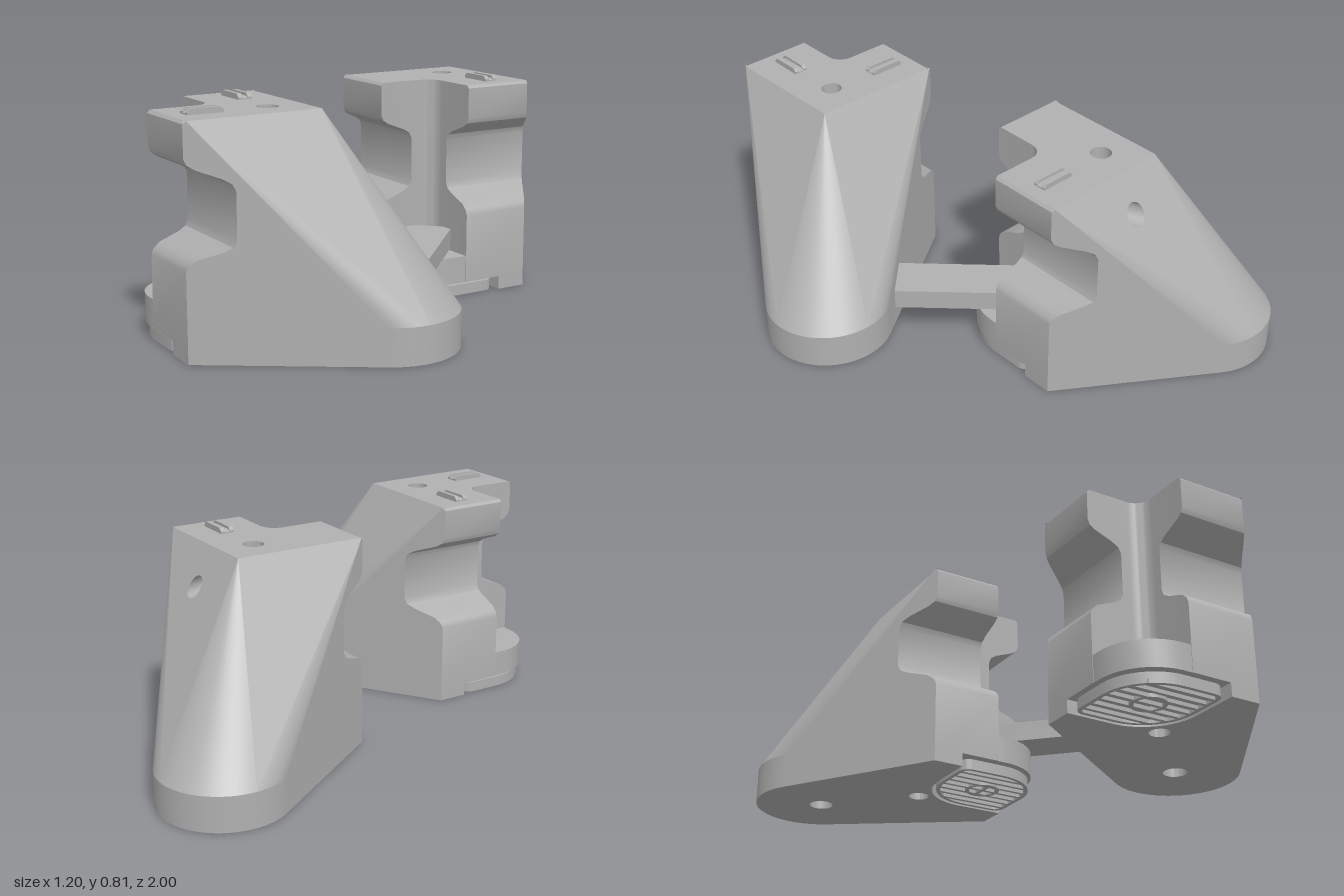
import * as THREE from 'three';
import { toCreasedNormals } from 'three/addons/utils/BufferGeometryUtils.js';

const grey = new THREE.MeshStandardMaterial({ color: 0xb0b0b0, side: THREE.DoubleSide });
grey.name = 'plain grey';

const TOP = 0.79, RIM = 0.13, POCKET = 0.05, APEX = 0.02;
const TIP_X = 0.253, TIP_R = 0.235, HOLE_X = -0.165, HOLE_R = 0.038;
const SIDE = 0.5, NOTCH = 0.27;
const v3 = (x, y, z) => new THREE.Vector3(x, y, z);

// Plan point [x, z] measured along the two diagonal edges of the square head
const ab = (a, b) => [APEX - (a + b) * Math.SQRT1_2, (a - b) * Math.SQRT1_2];
const tip = t => [TIP_X + TIP_R * Math.cos(t), TIP_R * Math.sin(t)];
const steps = (n, f) => Array.from({ length: n + 1 }, (_, i) => f(i / n));
const flip = pts => pts.map(([x, z]) => [x, -z]).reverse();
const at = (pts, y) => pts.map(([x, z]) => v3(x, y, z));

// Head corner and the tangent wall running from it to the rounded tip
const P = ab(SIDE, 0);
const TAN = Math.atan2(P[1], P[0] - TIP_X) - Math.acos(TIP_R / Math.hypot(P[0] - TIP_X, P[1]));
const Q = tip(TAN);
const WALL = Math.hypot(Q[0] - P[0], Q[1] - P[1]);
const DIR = [(Q[0] - P[0]) / WALL, (Q[1] - P[1]) / WALL];
const SKEW = (DIR[0] - DIR[1]) * Math.SQRT1_2;
const tipArc = steps(32, t => tip(TAN - 2 * TAN * t));

// Side groove: [height, depth]
const GROOVE = [[POCKET, 0], [0.305, 0], [0.325, 0.008], [0.345, 0.03], [0.372, 0.1], [0.388, 0.126], [0.41, 0.136],
  [0.57, 0.136], [0.592, 0.126], [0.608, 0.1], [0.635, 0.03], [0.65, 0.008], [0.67, 0], [0.78, 0], [TOP, 0.01]];

function add(group, name, geometry) {
  const mesh = new THREE.Mesh(toCreasedNormals(geometry, 0.55), grey);
  mesh.name = name;
  group.add(mesh);
  return mesh;
}

function loft(rows) {
  const pos = [];
  for (let i = 0; i + 1 < rows.length; i++)
    for (let j = 0; j + 1 < rows[i].length; j++) {
      const [a, b, c, d] = [rows[i][j], rows[i][j + 1], rows[i + 1][j + 1], rows[i + 1][j]];
      for (const p of [a, b, c, a, c, d]) pos.push(p.x, p.y, p.z);
    }
  const g = new THREE.BufferGeometry();
  g.setAttribute('position', new THREE.Float32BufferAttribute(pos, 3));
  return g;
}

// Plan shape with round holes [x, z, r]
function plan(pts, holes = []) {
  const s = new THREE.Shape(pts.map(([x, z]) => new THREE.Vector2(x, -z)));
  for (const [x, z, r] of holes) s.holes.push(new THREE.Path().absarc(x, -z, r, 0, Math.PI * 2, true));
  return s;
}
const cap = (shape, y) => new THREE.ShapeGeometry(shape, 24).rotateX(-Math.PI / 2).translate(0, y, 0);
const slab = (shape, y0, y1) => new THREE.ExtrudeGeometry(shape, { depth: y1 - y0, bevelEnabled: false, curveSegments: 24 })
  .rotateX(-Math.PI / 2).translate(0, y0, 0);

// Grooved nose outline from -z to +z at one groove depth
function noseLine(d) {
  const r = 0.06, c = NOTCH + r, s = d / SKEW;
  const half = [ab(c - r * Math.SQRT1_2, c - r * Math.SQRT1_2),
    ...steps(5, t => (1 - t) * Math.PI / 4).map(p => ab(c - r * Math.sin(p), c - r * Math.cos(p))).slice(1),
    ab(SIDE - d, NOTCH), [P[0] + DIR[0] * s, P[1] + DIR[1] * s]];
  return [...flip(half).slice(0, -1), ...half];
}

// Square in edge coordinates with rounded inner and outer corners
function roundedPad(lo, hi, r, k) {
  const corner = (ca, cb, rad, start) => steps(10, t => {
    const q = start + t * Math.PI / 2;
    return ab(ca + rad * Math.cos(q), cb + rad * Math.sin(q));
  });
  return [...corner(hi - r, hi - r, r, 0), ...corner(lo + k, hi - k, k, Math.PI / 2),
    ...corner(lo + r, lo + r, r, Math.PI), ...corner(hi - k, lo + k, k, 1.5 * Math.PI)];
}

// Box lying along one diagonal edge
function diagonalBox(a, b, la, lb, y0, y1) {
  const [x, z] = ab(a, b);
  return new THREE.BoxGeometry(la, y1 - y0, lb).rotateY(-0.75 * Math.PI).translate(x, (y0 + y1) / 2, z);
}

function makeSlopes(g, side, drilled) {
  const apex = v3(APEX, TOP, 0), corner = v3(P[0], TOP, P[1]);
  const arc = steps(10, t => tip(TAN + (Math.PI / 4 - TAN) * t));
  const parts = [add(g, 'outerSlope', loft([at(arc, RIM), arc.map(() => corner)]))];

  // Flat slope between the head edge and the tip
  const foot = at([tip(Math.PI / 4)], RIM)[0].sub(apex);
  const e1 = corner.clone().sub(apex).normalize();
  const e2 = foot.clone().addScaledVector(e1, -foot.dot(e1)).normalize();
  const face = new THREE.Shape([[0, 0], [SIDE, 0], [foot.dot(e1), foot.dot(e2)]].map(p => new THREE.Vector2(...p)));
  const m = new THREE.Matrix4().makeBasis(e1, e2, e1.clone().cross(e2)).setPosition(apex);
  if (drilled) {
    const ring = steps(24, t => [0.173 + 0.038 * Math.cos(t * 2 * Math.PI), 0.155 + 0.044 * Math.sin(t * 2 * Math.PI)]);
    face.holes.push(new THREE.Path(ring.map(p => new THREE.Vector2(...p))));
    const mouth = ring.map(([x, y]) => v3(x, y, 0).applyMatrix4(m));
    parts.push(add(g, 'slopeBore', loft([mouth, mouth.map(p => p.clone().add(v3(-0.32, 0, -0.13)))])));
  }
  parts.push(add(g, 'flatSlope', new THREE.ShapeGeometry(face).applyMatrix4(m)));

  // Vertical wall with the groove cut into its edge
  const wall = new THREE.Shape([...GROOVE.map(([y, d]) => new THREE.Vector2(d / SKEW, y)),
    new THREE.Vector2(WALL, RIM), new THREE.Vector2(WALL, POCKET)]);
  const wm = new THREE.Matrix4().makeBasis(v3(DIR[0], 0, DIR[1]), v3(0, 1, 0), v3(-DIR[1], 0, DIR[0])).setPosition(P[0], 0, P[1]);
  parts.push(add(g, 'sideWall', new THREE.ShapeGeometry(wall).applyMatrix4(wm)));
  parts.forEach(p => { p.scale.z = side; });
}

function makeFootPad(g, slatSide) {
  const lo = 0.13, hi = 0.488, r = 0.19, mid = (lo + hi) / 2;
  add(g, 'footPlate', slab(plan(roundedPad(lo, hi, r, 0.04)), 0.014, 0.04));
  const frame = plan(roundedPad(lo, hi, r, 0.04));
  frame.holes.push(new THREE.Path(plan(roundedPad(lo + 0.015, hi - 0.015, r - 0.015, 0.025)).getPoints().reverse()));
  add(g, 'footRim', slab(frame, 0, 0.014));
  // Tread slats, trimmed at the two rounded corners
  for (let i = 1; i <= 7; i++) {
    const v = lo + (hi - lo) * i / 8;
    const trim = q => q < r ? r - Math.sqrt(r * r - (r - q) ** 2) : 0;
    const s = lo + trim(v - lo), e = hi - trim(hi - v), c = (s + e) / 2, len = e - s - 0.01;
    add(g, 'treadSlat', slatSide > 0 ? diagonalBox(c, v, len, 0.014, 0, 0.014) : diagonalBox(v, c, 0.014, len, 0, 0.014));
  }
  const [x, z] = ab(mid, mid);
  const ring = plan(steps(32, t => [x + 0.065 * Math.cos(t * 2 * Math.PI), z + 0.065 * Math.sin(t * 2 * Math.PI)]).slice(0, -1), [[x, z, 0.05]]);
  add(g, 'treadRing', slab(ring, 0, 0.014));
  add(g, 'treadCross', diagonalBox(mid, mid, 0.014, 0.11, 0, 0.014));
}

// Raised clip: two chamfered rails around a lower strip
function makeClip(g, side) {
  const clip = new THREE.Group();
  clip.name = 'topClip';
  const rail = new THREE.Shape([[-0.065, 0], [0.065, 0], [0.065, 0.008], [0.053, 0.02], [-0.053, 0.02], [-0.065, 0.008]]
    .map(p => new THREE.Vector2(...p)));
  for (const [z, w, h] of [[-0.026, 0.016, 1], [-0.01, 0.02, 0.5], [0.01, 0.016, 1]])
    add(clip, 'clipRail', new THREE.ExtrudeGeometry(rail, { depth: w, bevelEnabled: false }).scale(1, h, 1).translate(0, 0, z));
  clip.position.set(-0.33, TOP, side * 0.177);
  clip.rotation.y = side * Math.PI / 4;
  g.add(clip);
}

function makeBracket(name, { clips, drilled, slatSide }) {
  const g = new THREE.Group();
  g.name = name;
  add(g, 'groovedNose', loft(GROOVE.map(([y, d]) => at(noseLine(d), y))));
  add(g, 'topFace', cap(plan([...noseLine(0.01), P, [APEX, 0], [P[0], -P[1]]], [[HOLE_X, 0, HOLE_R]]), TOP));
  add(g, 'pocketCeiling', cap(plan([...noseLine(0), ...tipArc], [[HOLE_X, 0, HOLE_R]]), POCKET));
  add(g, 'tipBand', loft([at(tipArc, POCKET), at(tipArc, RIM)]));
  const ridge = steps(20, t => tip(Math.PI / 4 - t * Math.PI / 2));
  add(g, 'ridgeSlope', loft([at(ridge, RIM), ridge.map(() => v3(APEX, TOP, 0))]));
  for (const side of [1, -1]) makeSlopes(g, side, drilled === side);
  add(g, 'screwBore', new THREE.CylinderGeometry(HOLE_R, HOLE_R, TOP - POCKET, 24, 1, true)
    .translate(HOLE_X, (TOP + POCKET) / 2, 0));

  // Base layer with a pocket for the foot pad
  const p = 0.115, r = 0.2;
  const pocket = steps(12, t => ab(p + r - r * Math.cos(t * Math.PI / 2), p + r - r * Math.sin(t * Math.PI / 2)));
  add(g, 'baseLayer', slab(plan([ab(0, 0), 0].length ? [ab(p, SIDE), ...pocket, ab(SIDE, p), P, ...tipArc, [P[0], -P[1]]] : [],
    [[HOLE_X, 0, HOLE_R], [0.235, 0, 0.045]]), 0, POCKET));

  // Rounded ledge in the notch
  const [hx, hz] = ab(0.311, 0.311);
  add(g, 'noseLedge', slab(plan(roundedPad(0.2, 0.498, 0.195, 0.002).filter(([x]) => x < -0.3), [[hx, hz, 0.033]]), POCKET, 0.15));
  makeFootPad(g, slatSide);
  clips.forEach(s => makeClip(g, s));
  return g;
}

export function createModel() {
  const model = new THREE.Group();
  model.name = 'bracketPair';
  const front = makeBracket('frontBracket', { clips: [1, -1], drilled: 0, slatSide: -1 });
  front.position.set(0, 0, 0.645);
  const back = makeBracket('backBracket', { clips: [1], drilled: 1, slatSide: 1 });
  back.rotation.y = Math.PI / 2;
  back.position.set(0.245, 0, -0.512);
  model.add(front, back);
  // Loose bar reaching out of the back bracket's notch
  add(model, 'connectingBar', new THREE.BoxGeometry(0.17, 0.075, 0.48).translate(0.25, 0.195, 0.145));
  return model;
}
